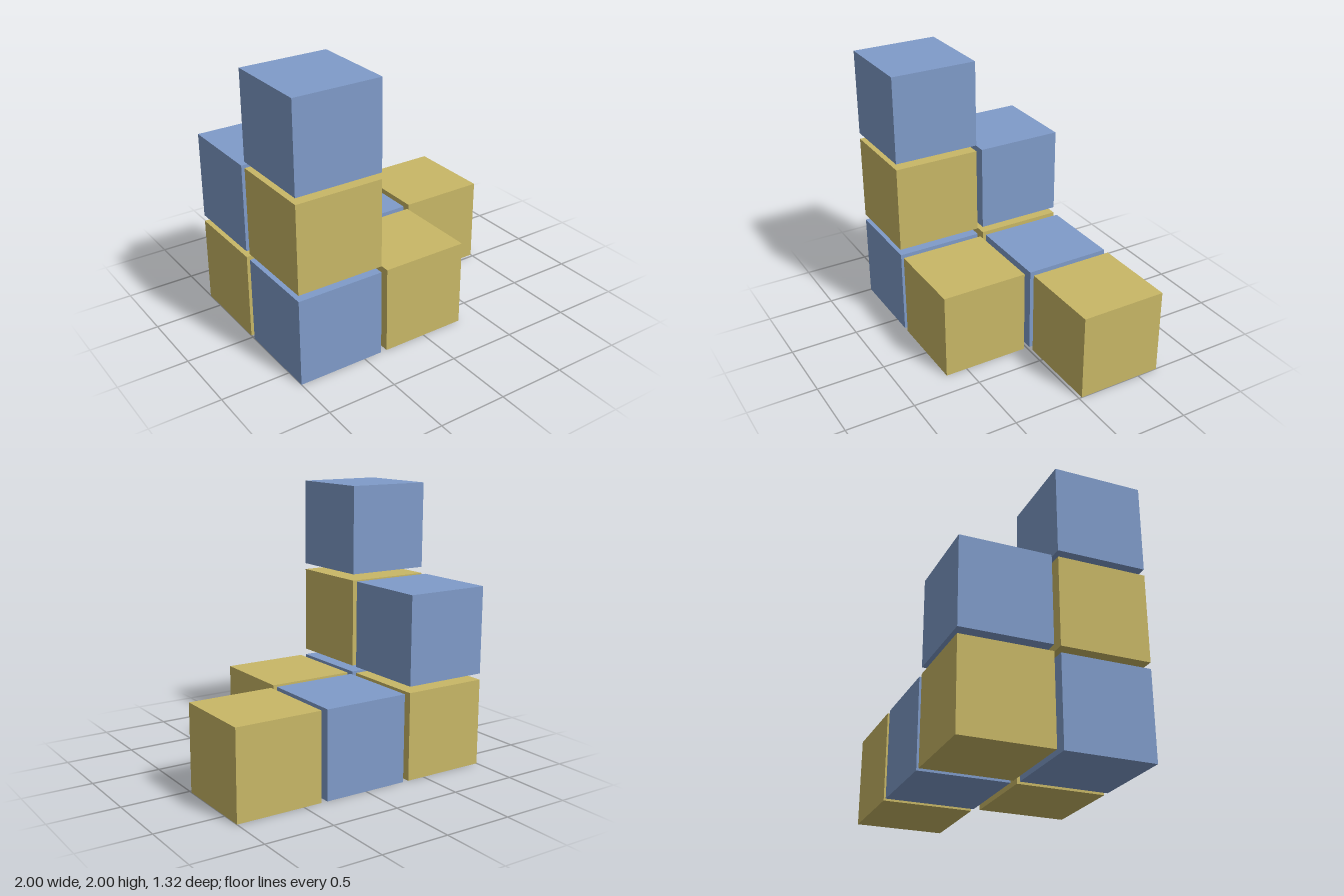
import * as THREE from 'three';

const SIZE = 0.636;   // edge of one cube
const PITCH = 0.682;  // distance between cube centres

export function createModel() {
  const group = new THREE.Group();
  group.name = 'cubeStack';

  const blue = new THREE.MeshStandardMaterial({ name: 'blue', color: 0x7f9bc9 });
  const gold = new THREE.MeshStandardMaterial({ name: 'gold', color: 0xc8b766 });
  const cube = new THREE.BoxGeometry(SIZE, SIZE, SIZE);

  // Number of cubes in each column: rows from back to front, columns along x
  const heights = [
    [2, 1, 1],
    [3, 1, 0],
  ];

  heights.forEach((row, k) => row.forEach((count, i) => {
    for (let level = 0; level < count; level++) {
      // Colours alternate in all three directions
      const mesh = new THREE.Mesh(cube, (i + level + k) % 2 ? blue : gold);
      mesh.name = `${k ? 'front' : 'back'}Cube_column${i + 1}_level${level + 1}`;
      mesh.position.set((i - 1) * PITCH, SIZE / 2 + level * PITCH, (k - 0.5) * PITCH);
      group.add(mesh);
    }
  }));

  return group;
}
